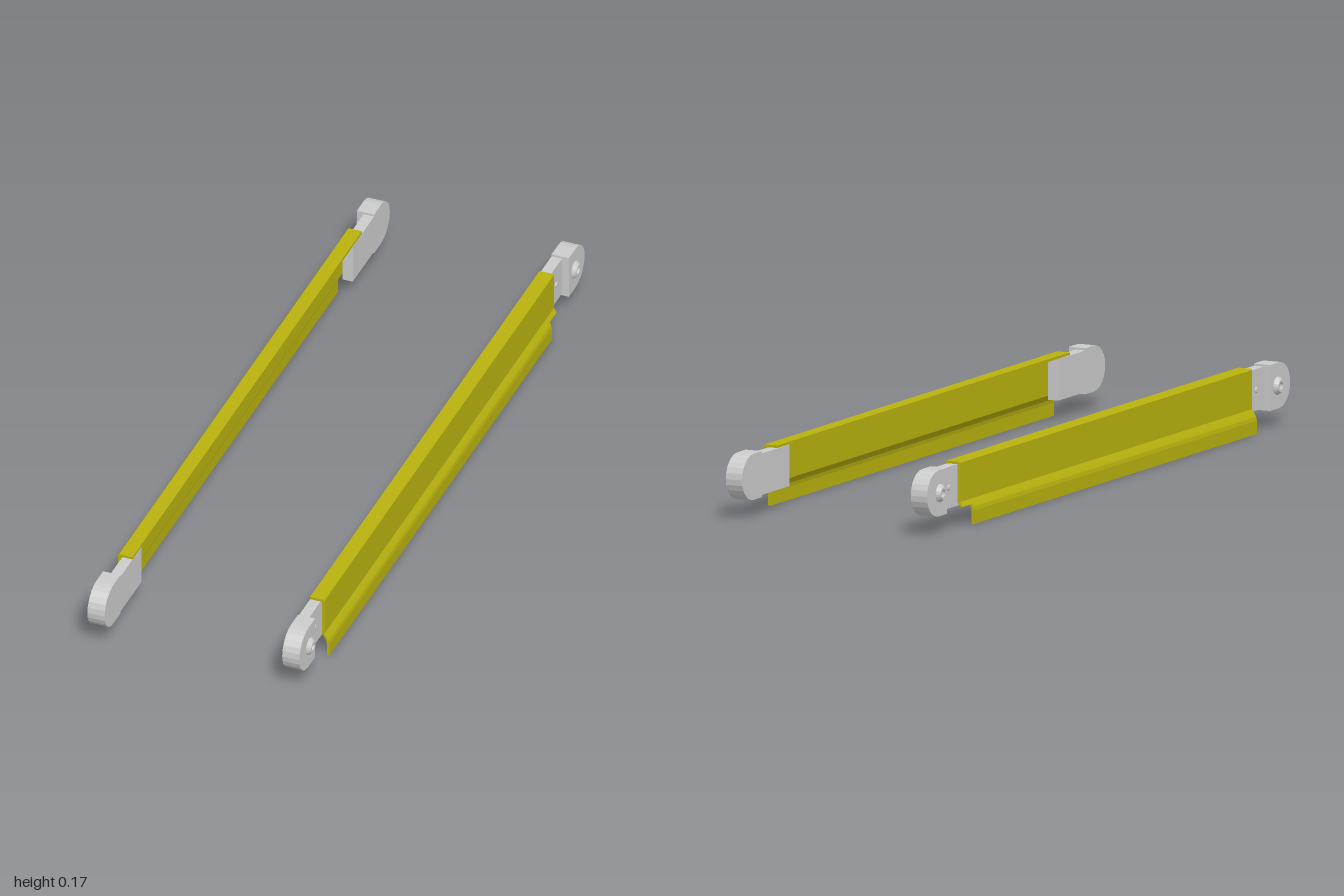
import * as THREE from 'three';

const yellow = new THREE.MeshStandardMaterial({ color: 0xb8b20e, flatShading: true });
const grey = new THREE.MeshStandardMaterial({ color: 0xcccccc, flatShading: true });

function add(parent, name, geometry, material) {
  const mesh = new THREE.Mesh(geometry, material);
  mesh.name = name;
  parent.add(mesh);
}

const shapeOf = (pts, s) => new THREE.Shape(pts.map(([a, b]) => new THREE.Vector2(a * s, b)));

// Cross-section in x/y swept along z
function sweep(pts, s, z0, z1) {
  const g = new THREE.ExtrudeGeometry(shapeOf(pts, s), { depth: z1 - z0, bevelEnabled: false });
  return g.translate(0, 0, z0);
}

// Side outline in z/y given thickness between two x positions
function plate(pts, s, end, x0, x1) {
  const g = new THREE.ExtrudeGeometry(shapeOf(pts, end), { depth: x1 - x0, bevelEnabled: false });
  return g.rotateY(-Math.PI / 2).translate(s > 0 ? x1 : -x0, 0, 0);
}

// Turned part whose axis points outward from the rail
function turned(pts, s, y, z, x, segments) {
  const g = new THREE.LatheGeometry(pts.map(([r, h]) => new THREE.Vector2(r, h)), segments);
  return g.rotateZ(-s * Math.PI / 2).translate(s * x, y, z);
}

function createEndCap(s, end) {
  const cap = new THREE.Group();
  cap.name = 'endCap';

  // Rounded head
  const head = [[0.89, 0.047]];
  for (let i = 0; i <= 12; i++) {
    const a = -Math.PI / 2 + Math.PI * i / 12;
    head.push([0.937 + 0.063 * Math.cos(a), 0.1075 + 0.0605 * Math.sin(a)]);
  }
  head.push([0.89, 0.168]);
  add(cap, 'capHead', plate(head, s, end, 0.247, 0.295), grey);

  // Neck and the tang that slides inside the channel
  const neck = [[0.74, 0.053], [0.89, 0.053], [0.89, 0.162], [0.74, 0.162]];
  add(cap, 'capNeck', plate(neck, s, end, 0.247, 0.276), grey);

  // Pivot bolt with a socket, and the small neck screw
  const bolt = [[0.024, -0.002], [0.024, 0.002], [0.016, 0.011], [0.010, 0.011], [0.010, 0.003], [0, 0.003]];
  add(cap, 'pivotBolt', turned(bolt, s, 0.1075, end * 0.93, 0.295, 18), grey);
  const screw = [[0.008, -0.002], [0.008, 0.002], [0.005, 0.004], [0, 0.004]];
  add(cap, 'neckScrew', turned(screw, s, 0.1075, end * 0.847, 0.276, 12), grey);
  return cap;
}

function createRail(s) {
  const rail = new THREE.Group();
  rail.name = s > 0 ? 'leftRail' : 'rightRail';

  // Top flange and web
  const channel = [
    [0.247, 0.170], [0.284, 0.170], [0.287, 0.167], [0.287, 0.064], [0.295, 0.052],
    [0.288, 0.052], [0.281, 0.062], [0.281, 0.163], [0.247, 0.163],
  ];
  add(rail, 'railChannel', sweep(channel, s, -0.805, 0.805), yellow);

  // Lower lip stepping outward, cut short at the back
  const lip = [
    [0.288, 0.052], [0.295, 0.052], [0.299, 0.045], [0.301, 0.035], [0.301, 0],
    [0.294, 0], [0.294, 0.035], [0.292, 0.045],
  ];
  add(rail, 'railLip', sweep(lip, s, -0.755, 0.805), yellow);

  for (const end of [-1, 1]) rail.add(createEndCap(s, end));
  return rail;
}

export function createModel() {
  const model = new THREE.Group();
  model.name = 'sideRails';
  for (const s of [-1, 1]) model.add(createRail(s));
  return model;
}
